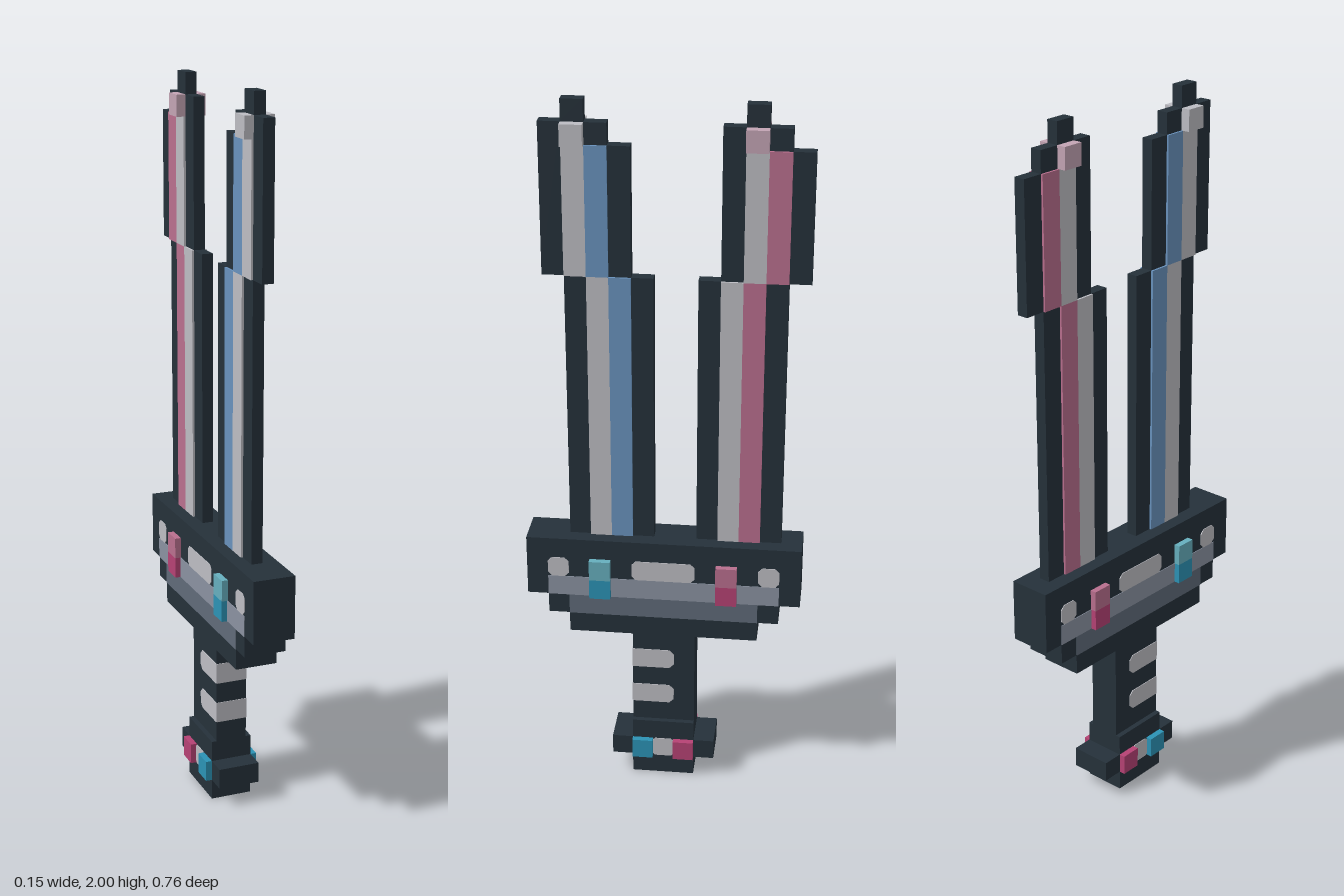
import * as THREE from 'three';

const U = 2 / 34; // one block of the grid; all sizes below are in blocks

const mat = (name, color) => {
  const m = new THREE.MeshStandardMaterial({ color });
  m.name = name;
  return m;
};

export function createModel() {
  const dark = mat('dark steel', 0x25313a);
  const grey = mat('light grey', 0xbdbdc3);
  const blue = mat('blue', 0x6992bd);
  const pink = mat('rose', 0xb96f8e);
  const cyan = mat('cyan', 0x2c93b5);
  const paleCyan = mat('pale cyan', 0x66afbe);
  const magenta = mat('magenta', 0xb64274);
  const palePink = mat('pale pink', 0xc3a4b4);
  const slate = mat('slate', 0x8a92a1);
  const deepSlate = mat('deep slate', 0x606b79);

  const model = new THREE.Group();
  model.name = 'twinBladeSword';
  const part = (name) => {
    const g = new THREE.Group();
    g.name = name;
    model.add(g);
    return g;
  };

  // Box spanning z0..z1 and y0..y1, from x = -half to +half
  const box = (parent, name, material, half, z0, z1, y0, y1) => {
    const geo = new THREE.BoxGeometry(2 * half * U, (y1 - y0) * U, (z1 - z0) * U);
    const mesh = new THREE.Mesh(geo, material);
    mesh.position.set(0, ((y0 + y1) / 2) * U, ((z0 + z1) / 2) * U);
    mesh.name = name;
    parent.add(mesh);
    return mesh;
  };

  // Thin inlay on both side faces; c0 and c1 clip the corners at each z end
  const inlay = (parent, name, material, half, z0, z1, y0, y1, c0 = 0, c1 = 0) => {
    const pts = [
      [z0 + c0, y0], [z1 - c1, y0], [z1, y0 + c1], [z1, y1 - c1],
      [z1 - c1, y1], [z0 + c0, y1], [z0, y1 - c0], [z0, y0 + c0],
    ].filter(([z, y], i, a) => {
      const [pz, py] = a[(i + 7) % 8];
      return z !== pz || y !== py;
    });
    const depth = 0.004;
    for (const side of [1, -1]) {
      const shape = new THREE.Shape(pts.map(([z, y]) => new THREE.Vector2(-side * z * U, y * U)));
      const geo = new THREE.ExtrudeGeometry(shape, { depth, bevelEnabled: false });
      const mesh = new THREE.Mesh(geo, material);
      mesh.rotation.y = (side * Math.PI) / 2;
      mesh.position.x = side * (half * U - depth / 2);
      mesh.name = name;
      parent.add(mesh);
    }
  };

  // Pommel with crossbar and gems
  const pommel = part('pommel');
  box(pommel, 'pommelBlock', dark, 1, -1.5, 1.5, 0, 3);
  for (const s of [-1, 1]) {
    box(pommel, 'pommelWing', dark, 1, s < 0 ? -2.5 : 1.5, s < 0 ? -1.5 : 2.5, 1, 2);
  }
  box(pommel, 'pommelGemCyan', cyan, 1.3, 0.5, 1.5, 1, 2);
  box(pommel, 'pommelGemMagenta', magenta, 1.3, -1.5, -0.5, 1, 2);
  inlay(pommel, 'pommelInlay', grey, 1, -0.5, 0.5, 1, 2, 0.1, 0.1);

  // Grip with two bands wrapping its front
  const grip = part('grip');
  box(grip, 'gripCore', dark, 0.75, -1.5, 1.5, 3, 8);
  for (const y of [4, 6]) {
    inlay(grip, 'gripBandSide', grey, 0.75, -0.5, 1.5, y, y + 1, 0.22, 0);
    box(grip, 'gripBandFront', grey, 0.75, 1.47, 1.53, y, y + 1);
  }

  // Stepped guard
  const guard = part('guard');
  box(guard, 'guardTop', dark, 1, -6.5, 6.5, 10, 13);
  box(guard, 'guardMiddle', dark, 1, -5.5, 5.5, 9, 10);
  box(guard, 'guardBottom', dark, 1, -4.5, 4.5, 8, 9);
  inlay(guard, 'guardStripe', slate, 1, -5.5, 5.5, 10, 11);
  inlay(guard, 'guardLowerStripe', deepSlate, 1, -4.5, 4.5, 9, 10);
  inlay(guard, 'guardCentreInlay', grey, 1, -1.5, 1.5, 11, 12, 0.2, 0.2);
  for (const z of [-5.5, 4.5]) {
    inlay(guard, 'guardEndInlay', grey, 1, z, z + 1, 11, 12, 0.2, 0.2);
  }
  const guardGems = [[2.5, cyan, paleCyan], [-3.5, magenta, pink]];
  for (const [z, low, high] of guardGems) {
    box(guard, 'guardGemLower', low, 1.3, z, z + 1, 10, 11);
    box(guard, 'guardGemUpper', high, 1.3, z, z + 1, 11, 12);
  }

  // Blades: each is a row of columns, the upper length shifted one block forward or back
  const EDGE = 0.27, FACE = 0.37;
  const blade = (name, dir, lowZ, highZ, colours, tipMaterial) => {
    const g = part(name);
    // column i counts from the outer end of the low part inward
    const col = (label, m, half, start, i, y0, y1) => {
      const a = start - dir * i, b = a - dir;
      box(g, label, m, half, Math.min(a, b), Math.max(a, b), y0, y1);
    };
    colours.forEach((m, i) => {
      const half = m === dark ? EDGE : FACE;
      const label = m === dark ? 'bladeEdge' : 'bladeStripe';
      col(label, m, half, lowZ, i, 13, 26);
      // the front end column rises one block above the rear one
      const top = i === 0 && dir > 0 || i === 3 && dir < 0 ? 33 : 32;
      col(label, m, half, highZ, i, 26, top);
    });
    const grayIndex = colours.indexOf(grey);
    const stripeIndex = 3 - grayIndex;
    col('bladeShoulder', dark, EDGE, highZ, stripeIndex, 32, 33);
    col('bladeTipBlock', tipMaterial, 0.7, highZ, grayIndex, 32, 33);
    col('bladeTip', dark, EDGE, highZ, grayIndex, 33, 34);
  };
  blade('frontBlade', 1, 4.5, 5.5, [dark, grey, blue, dark], grey);
  blade('backBlade', -1, -5.5, -6.5, [dark, pink, grey, dark], palePink);

  return model;
}
